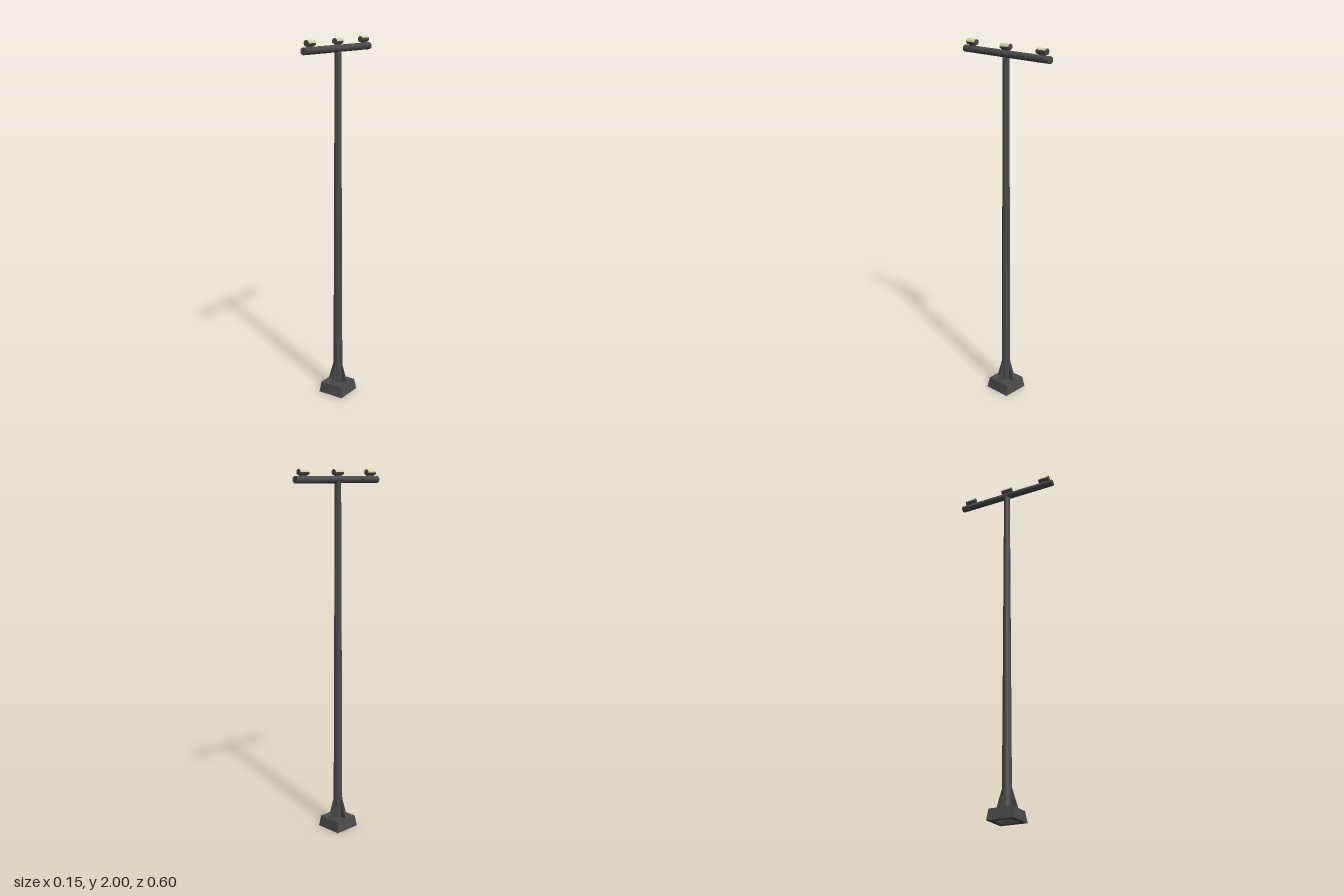
import * as THREE from 'three';

export function createModel() {
  const model = new THREE.Group();
  const metal = new THREE.MeshStandardMaterial({ color: 0x4a4a4a });
  metal.name = 'dark metal';
  const cream = new THREE.MeshStandardMaterial({ color: 0xd9d3a6, side: THREE.DoubleSide });
  cream.name = 'cream lens';

  const add = (parent, name, geometry, material, x = 0, y = 0, z = 0) => {
    const mesh = new THREE.Mesh(geometry, material);
    mesh.name = name;
    mesh.position.set(x, y, z);
    parent.add(mesh);
    return mesh;
  };

  // Square tapered foot, hollowed underneath
  const profile = [[0, 0.045], [0.04, 0.045], [0.048, 0], [0.077, 0], [0.068, 0.06], [0, 0.06]]
    .map(([half, y]) => new THREE.Vector2(half * Math.SQRT2, y));
  const foot = new THREE.LatheGeometry(profile, 4).rotateY(Math.PI / 4).toNonIndexed();
  foot.computeVertexNormals();
  add(model, 'base', foot, metal);

  // Tapering pole
  const bottom = 0.045, top = 1.945;
  add(model, 'pole', new THREE.CylinderGeometry(0.0175, 0.026, top - bottom, 12), metal, 0, (bottom + top) / 2, 0);

  // Four stiffening fins around the pole
  const finShape = new THREE.Shape([[0.015, 0.055], [0.065, 0.055], [0.03, 0.165], [0.015, 0.165]]
    .map(([x, y]) => new THREE.Vector2(x, y)));
  const finGeometry = new THREE.ExtrudeGeometry(finShape, { depth: 0.005, bevelEnabled: false });
  finGeometry.translate(0, 0, -0.0025);
  for (let i = 0; i < 4; i++) {
    add(model, 'fin', finGeometry, metal).rotation.y = i * Math.PI / 2;
  }

  // Round crossbar running front to back
  add(model, 'crossbar', new THREE.CylinderGeometry(0.019, 0.019, 0.6, 16).rotateX(Math.PI / 2), metal, 0, 1.946, 0);

  // Lamps: dark drum on a short foot, cream lens over the upper half
  const lamps = [[0.246, 0], [0, 0], [-0.246, 0.5]];
  for (const [z, cut] of lamps) {
    const lamp = new THREE.Group();
    lamp.name = 'lamp';
    lamp.position.set(0, 1.9835, z);
    model.add(lamp);
    add(lamp, 'lampFoot', new THREE.BoxGeometry(0.014, 0.022, 0.04), metal, 0, -0.016, 0);
    add(lamp, 'lampHousing', new THREE.CylinderGeometry(0.0155, 0.0155, 0.062, 16).rotateX(Math.PI / 2), metal);
    const lens = new THREE.CylinderGeometry(0.0165, 0.0165, 0.062, 12, 1, true, Math.PI / 2 + cut, Math.PI - cut);
    add(lamp, 'lampLens', lens.rotateX(Math.PI / 2), cream);
  }

  return model;
}
